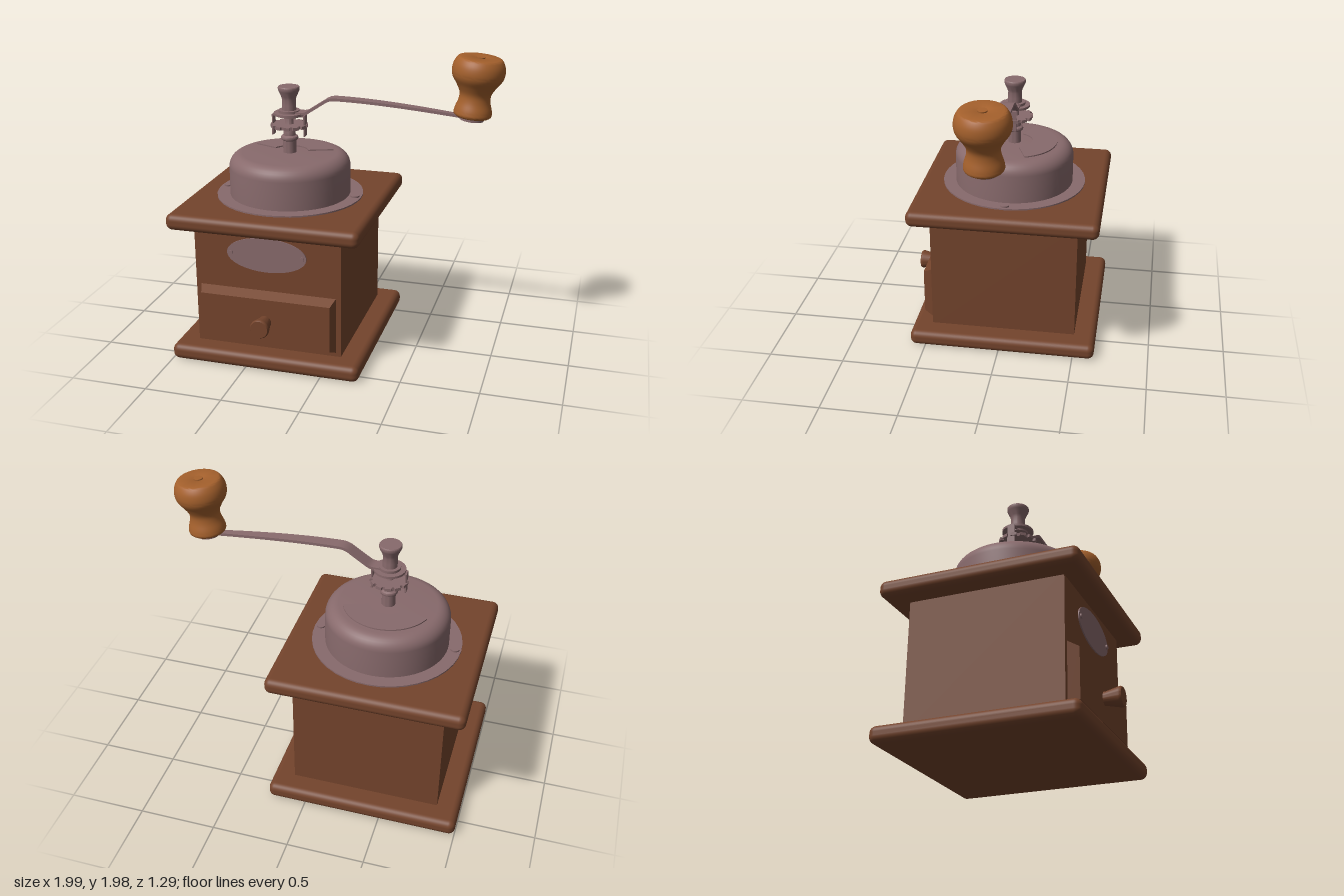
import * as THREE from 'three';
import { toCreasedNormals } from 'three/addons/utils/BufferGeometryUtils.js';
import { RoundedBoxGeometry } from 'three/addons/geometries/RoundedBoxGeometry.js';

export function createModel() {
  const material = (name, color) => {
    const m = new THREE.MeshStandardMaterial({ color });
    m.name = name;
    return m;
  };
  const wood = material('dark wood', 0x74442c);
  const metal = material('dull metal', 0x886a6c);
  const handleWood = material('light wood', 0xa4602c);

  const model = new THREE.Group();
  model.name = 'coffeeGrinder';
  // Everything but the crank grip shares one vertical axis
  const mill = new THREE.Group();
  mill.name = 'mill';
  mill.position.set(-0.375, 0, -0.02);
  model.add(mill);

  const add = (name, geometry, mat, x = 0, y = 0, z = 0, parent = mill) => {
    const mesh = new THREE.Mesh(geometry, mat);
    mesh.name = name;
    mesh.position.set(x, y, z);
    parent.add(mesh);
    return mesh;
  };
  const lathe = (points, segments = 48, crease = 0.6) => toCreasedNormals(
    new THREE.LatheGeometry(points.map(([r, y]) => new THREE.Vector2(r, y)), segments), crease);
  const disc = (name, r, y0, y1, x = 0, z = 0) =>
    add(name, new THREE.CylinderGeometry(r, r, y1 - y0, 40), metal, x, (y0 + y1) / 2, z);

  // Wooden case
  add('basePlate', new RoundedBoxGeometry(1.25, 0.105, 1.245, 5, 0.042), wood, 0, 0.0525, 0);
  add('topPlate', new RoundedBoxGeometry(1.25, 0.105, 1.245, 5, 0.042), wood, 0, 0.952, 0);
  add('body', new THREE.BoxGeometry(0.965, 0.84, 0.97), wood, 0, 0.5, 0.005);

  // Drawer front with bevelled sides
  const drawer = new THREE.BoxGeometry(0.9, 0.375, 0.065).toNonIndexed();
  const dp = drawer.attributes.position;
  for (let i = 0; i < dp.count; i++) {
    if (dp.getZ(i) > 0) {
      dp.setX(i, dp.getX(i) - Math.sign(dp.getX(i)) * 0.022);
      dp.setY(i, dp.getY(i) - Math.sign(dp.getY(i)) * 0.034);
    }
  }
  drawer.computeVertexNormals();
  add('drawerFront', drawer, wood, 0, 0.318, 0.522);
  const knob = add('drawerKnob', lathe([
    [0, -0.01], [0.042, -0.01], [0.042, 0.01], [0.062, 0.095], [0.062, 0.105], [0.056, 0.114], [0, 0.114],
  ]), wood, 0, 0.318, 0.554);
  knob.rotation.x = Math.PI / 2;

  // Oval plate with two pins
  const oval = new THREE.Shape().absellipse(0, 0, 0.262, 0.114, 0, Math.PI * 2);
  add('ovalPlate', new THREE.ExtrudeGeometry(oval, { depth: 0.009, bevelEnabled: false, curveSegments: 48 }),
    metal, 0, 0.75, 0.489);
  for (const side of [-1, 1]) {
    const pin = add('platePin', new THREE.CylinderGeometry(0.015, 0.015, 0.02, 16), metal, side * 0.235, 0.75, 0.497);
    pin.rotation.x = Math.PI / 2;
  }

  // Metal flange with screws and rounded drum
  disc('flange', 0.48, 1.0, 1.014);
  for (const side of [-1, 1]) disc('flangeScrew', 0.028, 1.01, 1.024, side * 0.44, 0);
  const drum = [[0.395, 1.01]];
  for (let i = 0; i <= 8; i++) {
    const a = (i / 8) * Math.PI / 2;
    drum.push([0.31 + 0.085 * Math.cos(a), 1.2 + 0.085 * Math.sin(a)]);
  }
  drum.push([0, 1.285]);
  add('drum', lathe(drum, 64), metal);

  // Sector-shaped filling lid
  const lid = new THREE.Shape();
  const a0 = 0.37, a1 = Math.PI - 0.37;
  lid.absarc(0, 0, 0.285, a0, a1, false);
  lid.absarc(0, 0, 0.12, a1, a0, true);
  const lidMesh = add('fillingLid', new THREE.ExtrudeGeometry(lid,
    { depth: 0.009, bevelEnabled: false, curveSegments: 32 }), metal, 0, 1.284, 0);
  lidMesh.rotation.x = -Math.PI / 2;

  // Shaft and collar
  add('shaft', lathe([
    [0.043, 1.28], [0.043, 1.365], [0.054, 1.372], [0.057, 1.382], [0.054, 1.392],
    [0.04, 1.4], [0.04, 1.45], [0.028, 1.47], [0.028, 1.55],
  ], 32), metal);

  // Notched adjusting wheel
  const wheel = new THREE.Shape();
  const teeth = 12;
  for (let i = 0; i < teeth; i++) {
    const r = [0.121, 0.121, 0.105, 0.105];
    [0, 0.62, 0.68, 0.94].forEach((f, k) => {
      const a = ((i + f) / teeth) * Math.PI * 2;
      const p = [r[k] * Math.cos(a), r[k] * Math.sin(a)];
      if (i + k === 0) wheel.moveTo(...p); else wheel.lineTo(...p);
    });
  }
  const wheelMesh = add('adjustingWheel', new THREE.ExtrudeGeometry(wheel,
    { depth: 0.02, bevelEnabled: false }), metal, 0, 1.455, 0);
  wheelMesh.rotation.x = -Math.PI / 2;

  // Locking clip and washers
  disc('lowerWasher', 0.068, 1.522, 1.534);
  disc('clipDisc', 0.1, 1.535, 1.55);
  for (const side of [-1, 1]) {
    add('clipLeg', new THREE.BoxGeometry(0.009, 0.135, 0.05), metal, side * 0.106, 1.467, 0);
    add('clipShoulder', new THREE.BoxGeometry(0.06, 0.009, 0.05), metal, side * 0.08, 1.531, 0);
  }
  disc('crankHub', 0.068, 1.55, 1.567);

  // Flared top nut
  add('topNut', lathe([
    [0.046, 1.56], [0.046, 1.6], [0.044, 1.635], [0.05, 1.655], [0.066, 1.69],
    [0.07, 1.7], [0.07, 1.715], [0.066, 1.721], [0, 1.721],
  ], 32), metal);

  // Crank arm: a tapered strip bent along a path
  const path = new THREE.CurvePath();
  const v = (x, y) => new THREE.Vector3(x, y, 0);
  path.add(new THREE.LineCurve3(v(-0.375, 1.552), v(-0.28, 1.552)));
  path.add(new THREE.QuadraticBezierCurve3(v(-0.28, 1.552), v(-0.262, 1.552), v(-0.245, 1.562)));
  path.add(new THREE.LineCurve3(v(-0.245, 1.562), v(-0.125, 1.642)));
  path.add(new THREE.QuadraticBezierCurve3(v(-0.125, 1.642), v(-0.1, 1.66), v(-0.06, 1.66)));
  path.add(new THREE.QuadraticBezierCurve3(v(-0.06, 1.66), v(0.25, 1.66), v(0.8, 1.597)));
  const arm = new THREE.BoxGeometry(1, 0.018, 1, 64, 1, 1);
  const ap = arm.attributes.position;
  for (let i = 0; i < ap.count; i++) {
    const t = THREE.MathUtils.clamp(ap.getX(i) + 0.5, 0, 1);
    const p = path.getPointAt(t), d = path.getTangentAt(t), h = ap.getY(i);
    const width = THREE.MathUtils.lerp(0.082, 0.036, t * t);
    ap.setXYZ(i, p.x - d.y * h, p.y + d.x * h, ap.getZ(i) * width);
  }
  arm.computeVertexNormals();
  add('crankArm', arm, metal, 0, 0, -0.02, model);

  // Tilted wooden grip on its metal washer
  const grip = new THREE.Group();
  grip.name = 'grip';
  grip.position.set(0.803, 1.597, -0.02);
  grip.rotation.z = -0.1;
  model.add(grip);
  add('gripWasher', new THREE.CylinderGeometry(0.075, 0.075, 0.022, 32), metal, 0, 0, 0, grip);
  const outline = new THREE.SplineCurve([
    [0.104, 0.012], [0.117, 0.026], [0.113, 0.06], [0.098, 0.11], [0.097, 0.155], [0.122, 0.205],
    [0.152, 0.25], [0.162, 0.29], [0.156, 0.335], [0.136, 0.371], [0.118, 0.378],
  ].map(([r, y]) => new THREE.Vector2(r, y))).getPoints(40).map((p) => [p.x, p.y]);
  add('gripBody', lathe([[0, 0.012], ...outline, [0.045, 0.38], [0.032, 0.374], [0, 0.374]], 48, 0.8),
    handleWood, 0, 0, 0, grip);
  add('gripPin', new THREE.CylinderGeometry(0.028, 0.028, 0.01, 24), handleWood, 0, 0.376, 0, grip);

  return model;
}
